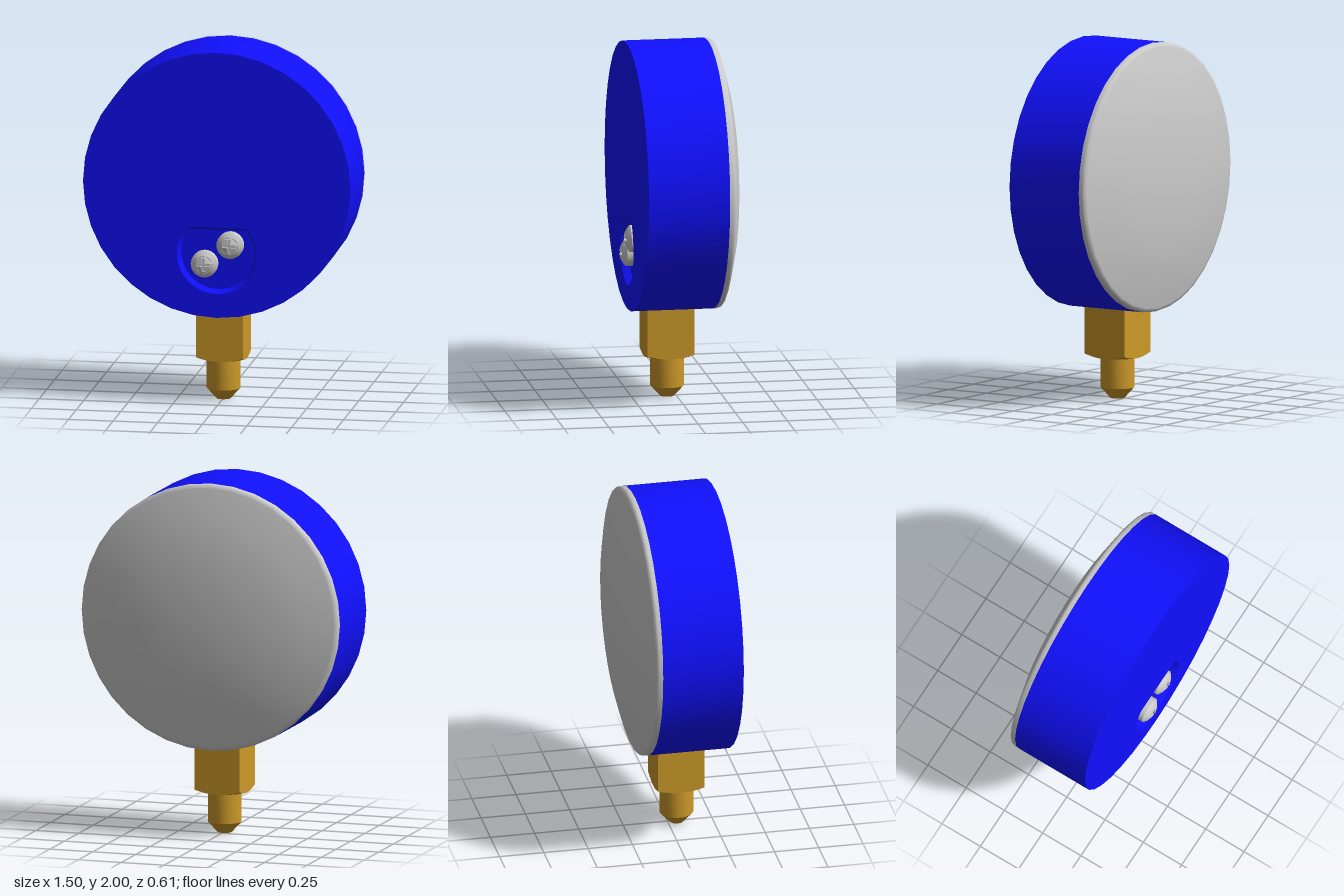
import * as THREE from 'three';
import { toCreasedNormals } from 'three/addons/utils/BufferGeometryUtils.js';

const SEG = 36, R = 0.75, CY = 1.25, FRONT = 0.275, FLOOR = 0.235, STEM_Z = 0.05;

const blue = new THREE.MeshStandardMaterial({ color: 0x1010ff });
const grey = new THREE.MeshStandardMaterial({ color: 0xcccccc });
const brass = new THREE.MeshStandardMaterial({ color: 0xcc9929 });

const vecs = (pts) => pts.map(([x, y]) => new THREE.Vector2(x, y));

function add(parent, name, geometry, material, x = 0, y = 0, z = 0) {
  const mesh = new THREE.Mesh(geometry, material);
  mesh.name = name;
  mesh.position.set(x, y, z);
  parent.add(mesh);
  return mesh;
}

// Lathe turned about the z axis, profile given as [radius, z] from back to front
function turnedZ(profile, seg = SEG, crease = 0.6) {
  const g = new THREE.LatheGeometry(vecs(profile), seg).rotateX(Math.PI / 2);
  return toCreasedNormals(g, crease);
}

function circlePoints(r, seg) {
  return Array.from({ length: seg }, (_, i) => {
    const a = (i / seg) * Math.PI * 2;
    return new THREE.Vector2(r * Math.cos(a), r * Math.sin(a));
  });
}

// Circle cut flat at the top, counterclockwise from the upper left corner
function pocketOutline(r, top, cy = 0.86, seg = 28) {
  const a = Math.asin((top - cy) / r);
  return Array.from({ length: seg + 1 }, (_, i) => {
    const t = Math.PI - a + (i / seg) * (Math.PI + 2 * a);
    return new THREE.Vector2(r * Math.cos(t), cy + r * Math.sin(t));
  });
}

// Sloping wall joining two outlines at different depths
function wallBetween(outer, inner, zOuter, zInner) {
  const pos = [];
  outer.forEach((a, i) => {
    const j = (i + 1) % outer.length;
    const b = outer[j], c = inner[i], d = inner[j];
    pos.push(a.x, a.y, zOuter, b.x, b.y, zOuter, c.x, c.y, zInner);
    pos.push(b.x, b.y, zOuter, d.x, d.y, zInner, c.x, c.y, zInner);
  });
  const g = new THREE.BufferGeometry();
  g.setAttribute('position', new THREE.Float32BufferAttribute(pos, 3));
  return toCreasedNormals(g, 0.6);
}

// Domed screw head with a cross recess
function makeScrew() {
  const screw = new THREE.Group();
  const dome = (r) => 0.305 - 6 * r * r;
  const seg = 24, rim = 0.075, mid = 0.05;
  const profile = [[rim, FLOOR - 0.005], [rim, dome(rim)], [0.067, dome(0.067)], [0.058, dome(0.058)], [mid, dome(mid)]];
  add(screw, 'screwHead', turnedZ(profile, seg, 0.7), grey);

  const l = 0.038, w = 0.008;
  const cross = vecs([[w, w], [w, l], [-w, l], [-w, w], [-l, w], [-l, -w],
    [-w, -w], [-w, -l], [w, -l], [w, -w], [l, -w], [l, w]]);
  const shape = new THREE.Shape(circlePoints(mid, seg));
  shape.holes.push(new THREE.Path(cross));
  const g = new THREE.ExtrudeGeometry(shape, { depth: 0.02, bevelEnabled: false });
  const p = g.attributes.position;
  for (let i = 0; i < p.count; i++) {
    p.setZ(i, p.getZ(i) - 0.02 + dome(Math.hypot(p.getX(i), p.getY(i))));
  }
  g.computeVertexNormals();
  add(screw, 'screwCrown', g, grey);
  add(screw, 'screwSlotFloor', new THREE.CircleGeometry(mid, seg), grey, 0, 0, 0.284);
  return screw;
}

export function createModel() {
  const model = new THREE.Group();
  model.name = 'pressureGauge';

  // Round case with a shallow pocket in the front plate
  const outer = pocketOutline(0.225, 1.01), inner = pocketOutline(0.205, 0.99);
  add(model, 'caseSide', turnedZ([[R, -0.18], [R, FRONT]]), blue, 0, CY);
  const plate = new THREE.Shape(circlePoints(R, SEG).map((v) => v.setY(v.y + CY)));
  plate.holes.push(new THREE.Path(outer));
  add(model, 'casePlate', new THREE.ShapeGeometry(plate), blue, 0, 0, FRONT);
  add(model, 'pocketWall', wallBetween(outer, inner, FRONT, FLOOR), blue);
  add(model, 'pocketFloor', new THREE.ShapeGeometry(new THREE.Shape(inner)), blue, 0, 0, FLOOR);

  // Bezel ring and domed window on the back
  add(model, 'bezel', turnedZ([[0.73, -0.218], [0.745, -0.212], [R, -0.2], [R, -0.18]], SEG, 0.9), grey, 0, CY);
  add(model, 'window', turnedZ([[0, -0.31], [0.19, -0.308], [0.38, -0.292], [0.57, -0.261], [0.73, -0.218]]), grey, 0, CY);

  // Two screws in the pocket
  for (const [x, y] of [[0.072, 0.91], [-0.072, 0.8]]) {
    const screw = makeScrew();
    screw.name = 'screw';
    screw.position.set(x, y, 0);
    model.add(screw);
  }

  // Square wrench block, its lower corners turned off to a cone
  const block = new THREE.BoxGeometry(0.264, 0.32, 0.264, 12, 1, 12);
  const p = block.attributes.position;
  for (let i = 0; i < p.count; i++) {
    if (p.getY(i) < 0) p.setY(i, -0.16 + 0.4 * Math.max(0, Math.hypot(p.getX(i), p.getZ(i)) - 0.132));
  }
  block.computeVertexNormals();
  add(model, 'wrenchBlock', block, brass, 0, 0.39, STEM_Z);

  // Stem with a tapered tip
  const stem = new THREE.LatheGeometry(vecs([[0, 0], [0.04, 0], [0.094, 0.06], [0.094, 0.25]]), 24);
  add(model, 'stem', toCreasedNormals(stem, 0.5), brass, 0, 0, STEM_Z);

  return model;
}
